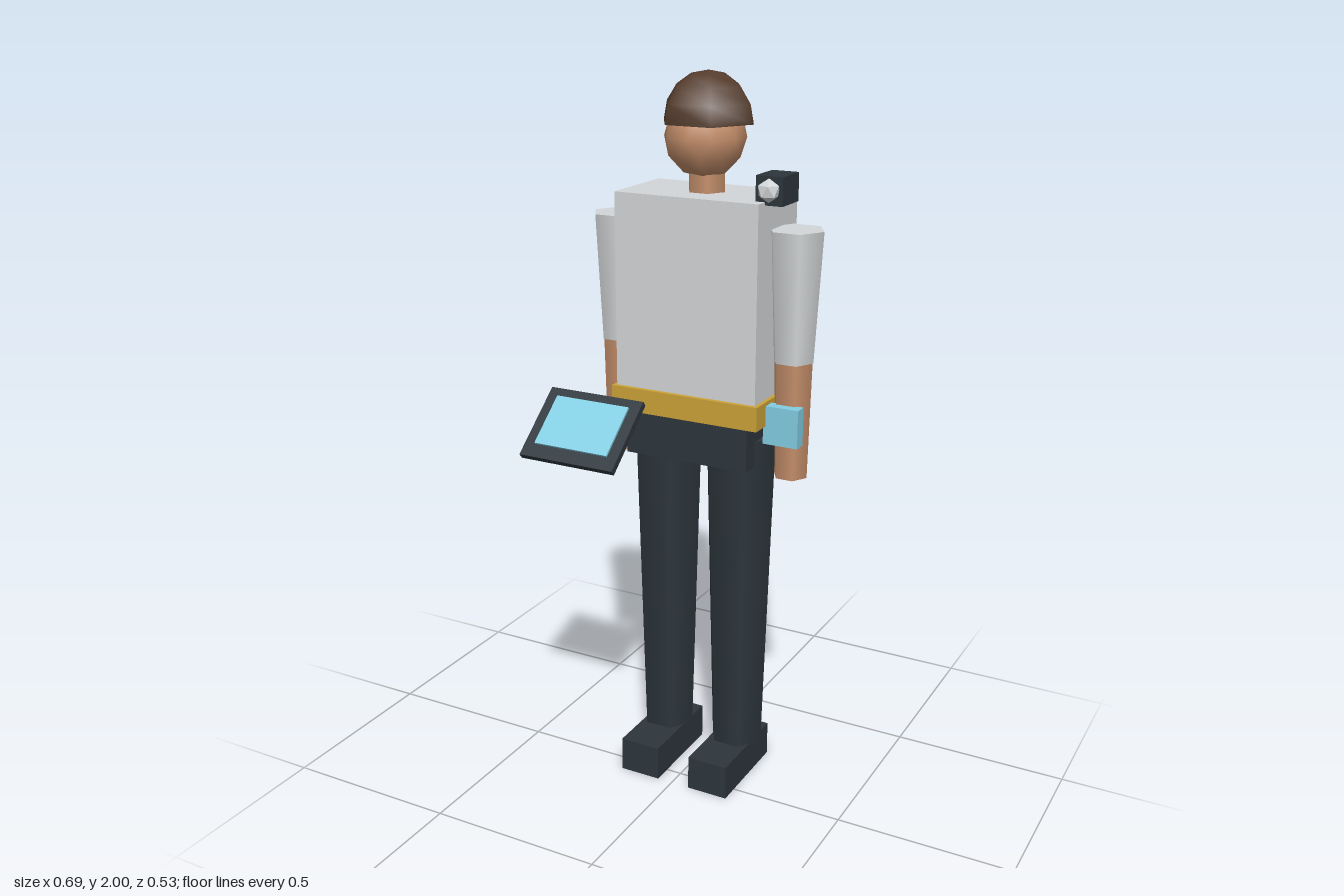
import * as THREE from 'three';

const CX = 0.005, CZ = -0.132; // body centre line

function material(name, color, side = THREE.FrontSide) {
  const m = new THREE.MeshStandardMaterial({ color, side });
  m.name = name;
  return m;
}

export function createModel() {
  const shirt = material('light grey', 0xd3d6d8);
  const dark = material('dark slate', 0x2d363c);
  const gold = material('gold', 0xcaa238);
  const skin = material('skin', 0xc48e6a);
  const brown = material('brown', 0x563d2e, THREE.DoubleSide);
  const cyan = material('cyan', 0x82cde2);

  const model = new THREE.Group();
  model.name = 'standingFigure';

  function add(name, geometry, mat, x, y, z, parent = model) {
    const mesh = new THREE.Mesh(geometry, mat);
    mesh.name = name;
    mesh.position.set(x, y, z);
    parent.add(mesh);
    return mesh;
  }
  const box = (name, mat, w, h, d, x, y, z, parent) =>
    add(name, new THREE.BoxGeometry(w, h, d), mat, x, y, z, parent);

  // six-sided tapered limb with corners on the x axis
  function limb(name, mat, rTop, rBottom, y0, y1, x, z = CZ) {
    const g = new THREE.CylinderGeometry(rTop, rBottom, y1 - y0, 6).rotateY(Math.PI / 2);
    return add(name, g, mat, x, (y0 + y1) / 2, z);
  }

  // faceted ball with one corner pointing straight up
  function ball(name, mat, r, detail, x, y, z) {
    const g = new THREE.IcosahedronGeometry(r, detail);
    g.rotateZ(Math.atan(2 / (1 + Math.sqrt(5))));
    return add(name, g, mat, x, y, z);
  }

  // trunk
  box('torso', shirt, 0.417, 0.528, 0.24, CX, 1.431, CZ - 0.001);
  box('belt', gold, 0.438, 0.067, 0.262, CX, 1.133, CZ - 0.001);
  box('hips', dark, 0.365, 0.127, 0.218, CX, 1.037, CZ + 0.003);

  // limbs
  for (const [side, s] of [['left', 1], ['right', -1]]) {
    limb(side + 'Leg', dark, 0.105, 0.078, 0.095, 1.045, CX + s * 0.113, CZ + 0.001);
    box(side + 'Foot', dark, 0.12, 0.1, 0.282, CX + s * 0.11, 0.05, -0.086);
    limb(side + 'Sleeve', shirt, 0.076, 0.057, 1.268, 1.618, CX + s * 0.263);
    limb(side + 'Forearm', skin, 0.055, 0.048, 0.945, 1.268, CX + s * 0.263);
  }

  // head
  limb('neck', skin, 0.053, 0.053, 1.68, 1.79, CX, -0.137);
  ball('head', skin, 0.109, 1, CX, 1.838, -0.128);
  add('hair', new THREE.SphereGeometry(0.131, 6, 4, 0, Math.PI * 2, 0, Math.PI / 2),
    brown, CX, 1.872, -0.1425);

  // shoulder camera and wrist device
  box('cameraBody', dark, 0.075, 0.074, 0.098, 0.225, 1.724, -0.099);
  const lens = ball('cameraLens', shirt, 0.031, 0, 0.227, 1.726, -0.043);
  lens.rotation.y = Math.PI;
  box('wristDevice', cyan, 0.1, 0.106, 0.036, 0.267, 1.103, -0.077);

  // tilted tablet
  const tablet = new THREE.Group();
  tablet.name = 'tablet';
  tablet.position.set(-0.204, 1.09, 0.1715);
  tablet.rotation.x = THREE.MathUtils.degToRad(40);
  model.add(tablet);
  box('tabletCase', dark, 0.285, 0.018, 0.22, 0, 0, 0, tablet);
  box('tabletScreen', cyan, 0.222, 0.008, 0.154, 0, 0.011, -0.006, tablet);

  return model;
}
